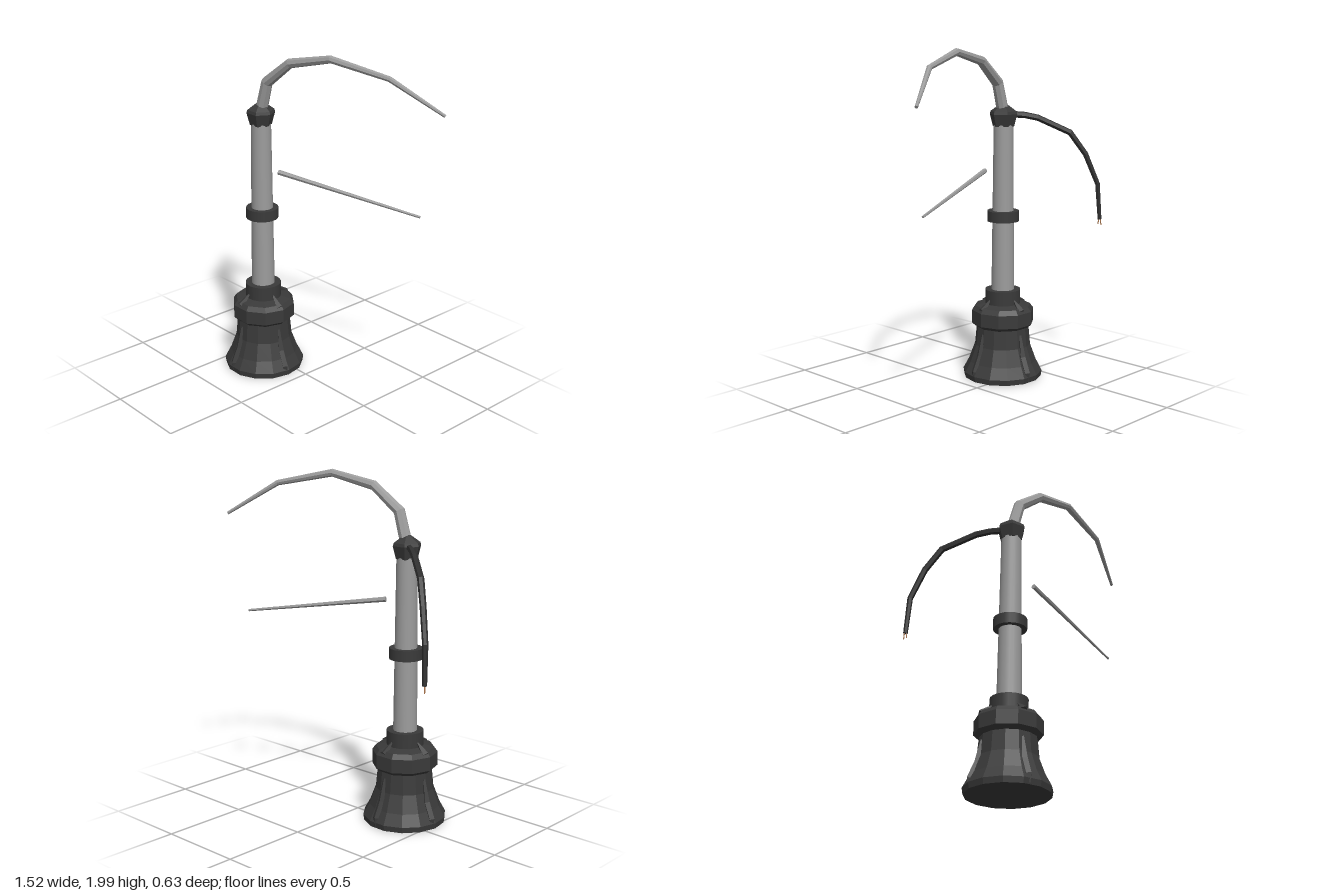
import * as THREE from 'three';

const AXIS = new THREE.Vector3(-0.3, 0, 0.073);

const mats = {
  iron: new THREE.MeshStandardMaterial({ color: 0x3a3a3a }),
  steel: new THREE.MeshStandardMaterial({ color: 0x9c9c9c }),
  cable: new THREE.MeshStandardMaterial({ color: 0x303030 }),
  copper: new THREE.MeshStandardMaterial({ color: 0xb07a50 }),
};
for (const [name, m] of Object.entries(mats)) m.name = name;

// Faceted normals
function flat(geo) {
  const g = geo.index ? geo.toNonIndexed() : geo;
  g.computeVertexNormals();
  return g;
}

// Tube through [x, y, z, radius] stations, closed at both ends
function taperedTube(stations, sides) {
  const p = stations.map(s => new THREE.Vector3(s[0], s[1], s[2]));
  const n = p.length, pos = [], idx = [];
  let u = null;
  for (let i = 0; i < n; i++) {
    const t = new THREE.Vector3();
    if (i > 0) t.add(p[i].clone().sub(p[i - 1]).normalize());
    if (i < n - 1) t.add(p[i + 1].clone().sub(p[i]).normalize());
    t.normalize();
    if (!u) u = new THREE.Vector3(0.3, 0.2, 1);
    u = u.clone().addScaledVector(t, -u.dot(t)).normalize();
    const v = t.clone().cross(u);
    for (let j = 0; j < sides; j++) {
      const a = (j / sides) * Math.PI * 2;
      const q = p[i].clone()
        .addScaledVector(u, Math.cos(a) * stations[i][3])
        .addScaledVector(v, Math.sin(a) * stations[i][3]);
      pos.push(q.x, q.y, q.z);
    }
  }
  for (let i = 0; i < n - 1; i++) {
    for (let j = 0; j < sides; j++) {
      const k = (j + 1) % sides, a = i * sides, b = a + sides;
      idx.push(a + j, a + k, b + k, a + j, b + k, b + j);
    }
  }
  const e = (n - 1) * sides;
  for (let j = 1; j < sides - 1; j++) idx.push(0, j + 1, j, e, e + j, e + j + 1);
  const g = new THREE.BufferGeometry();
  g.setAttribute('position', new THREE.Float32BufferAttribute(pos, 3));
  g.setIndex(idx);
  return flat(g);
}

export function createModel() {
  const group = new THREE.Group();
  group.name = 'brokenLampPost';
  const post = new THREE.Group();
  post.name = 'post';
  post.position.copy(AXIS);
  group.add(post);

  const add = (parent, name, geo, mat) => {
    const m = new THREE.Mesh(geo, mat);
    m.name = name;
    parent.add(m);
    return m;
  };
  const lathe = (pts, sides, turn = 0) => flat(new THREE.LatheGeometry(
    pts.map(([r, y]) => new THREE.Vector2(r, y)), sides, turn));
  const drum = (r0, r1, y0, y1, sides) =>
    new THREE.CylinderGeometry(r1, r0, y1 - y0, sides).translate(0, (y0 + y1) / 2, 0);

  // Flared foot
  add(post, 'flaredBase', lathe([
    [0, 0.012], [0.235, 0.012], [0.24, 0.045], [0.205, 0.11],
    [0.168, 0.21], [0.156, 0.34], [0, 0.34],
  ], 14, 0.2), mats.iron);

  // Faceted band over the foot
  add(post, 'baseBand', lathe([
    [0, 0.325], [0.165, 0.325], [0.188, 0.345], [0.188, 0.425],
    [0.168, 0.452], [0.11, 0.465], [0, 0.465],
  ], 10, 0.3), mats.iron);

  // Leaning ribs down the flare and small tabs on the band
  const ribs = new THREE.Group();
  ribs.name = 'baseRibs';
  post.add(ribs);
  for (let i = 0; i < 4; i++) {
    const spoke = new THREE.Group();
    spoke.rotation.y = i * Math.PI / 2 - 0.1;
    ribs.add(spoke);
    add(spoke, 'rib', taperedTube([
      [0, 0.02, 0.222, 0.012], [0, 0.07, 0.222, 0.02],
      [0, 0.16, 0.182, 0.02], [0, 0.29, 0.158, 0.008],
    ], 4), mats.iron);
    add(spoke, 'bandTab', taperedTube([
      [0, 0.435, 0.165, 0.024], [0, 0.495, 0.1, 0.004],
    ], 4), mats.iron);
  }

  // Pole with its collars
  add(post, 'lowerCollar', drum(0.106, 0.106, 0.455, 0.55, 20), mats.iron);
  add(post, 'pole', drum(0.069, 0.058, 0.54, 1.55, 20), mats.steel);
  add(post, 'middleCollar', drum(0.095, 0.095, 0.967, 1.03, 20), mats.iron);
  add(post, 'topCap', lathe([
    [0, 1.533], [0.064, 1.533], [0.083, 1.605], [0.078, 1.622], [0.018, 1.665], [0, 1.665],
  ], 6, Math.PI / 6), mats.iron);

  // Arched arm
  add(group, 'archedArm', taperedTube([
    [-0.3, 1.6, 0.073, 0.036], [-0.245, 1.79, 0.07, 0.034], [-0.08, 1.922, 0.043, 0.028],
    [0.18, 1.98, -0.018, 0.022], [0.5, 1.912, -0.14, 0.016], [0.75, 1.732, -0.306, 0.009],
  ], 8), mats.steel);

  // Loose rod hanging in mid-air below the arm
  add(group, 'looseRod', taperedTube([
    [-0.145, 1.284, 0.076, 0.015], [0.655, 1.157, -0.245, 0.007],
  ], 6), mats.steel);

  // Drooping cable and its bare wire ends
  add(group, 'cable', taperedTube([
    [-0.31, 1.605, 0.065, 0.02], [-0.4, 1.597, -0.005, 0.019], [-0.46, 1.58, -0.055, 0.019],
    [-0.61, 1.49, -0.18, 0.019], [-0.68, 1.36, -0.243, 0.018],
    [-0.738, 1.18, -0.292, 0.016], [-0.748, 0.965, -0.305, 0.013],
  ], 6), mats.cable);
  for (const s of [-1, 1]) {
    add(group, 'bareWire', taperedTube([
      [-0.748 + s * 0.004, 0.97, -0.305 + s * 0.004, 0.004],
      [-0.748 + s * 0.006, 0.932 + s * 0.004, -0.305 + s * 0.006, 0.003],
    ], 5), mats.copper);
  }
  return group;
}
